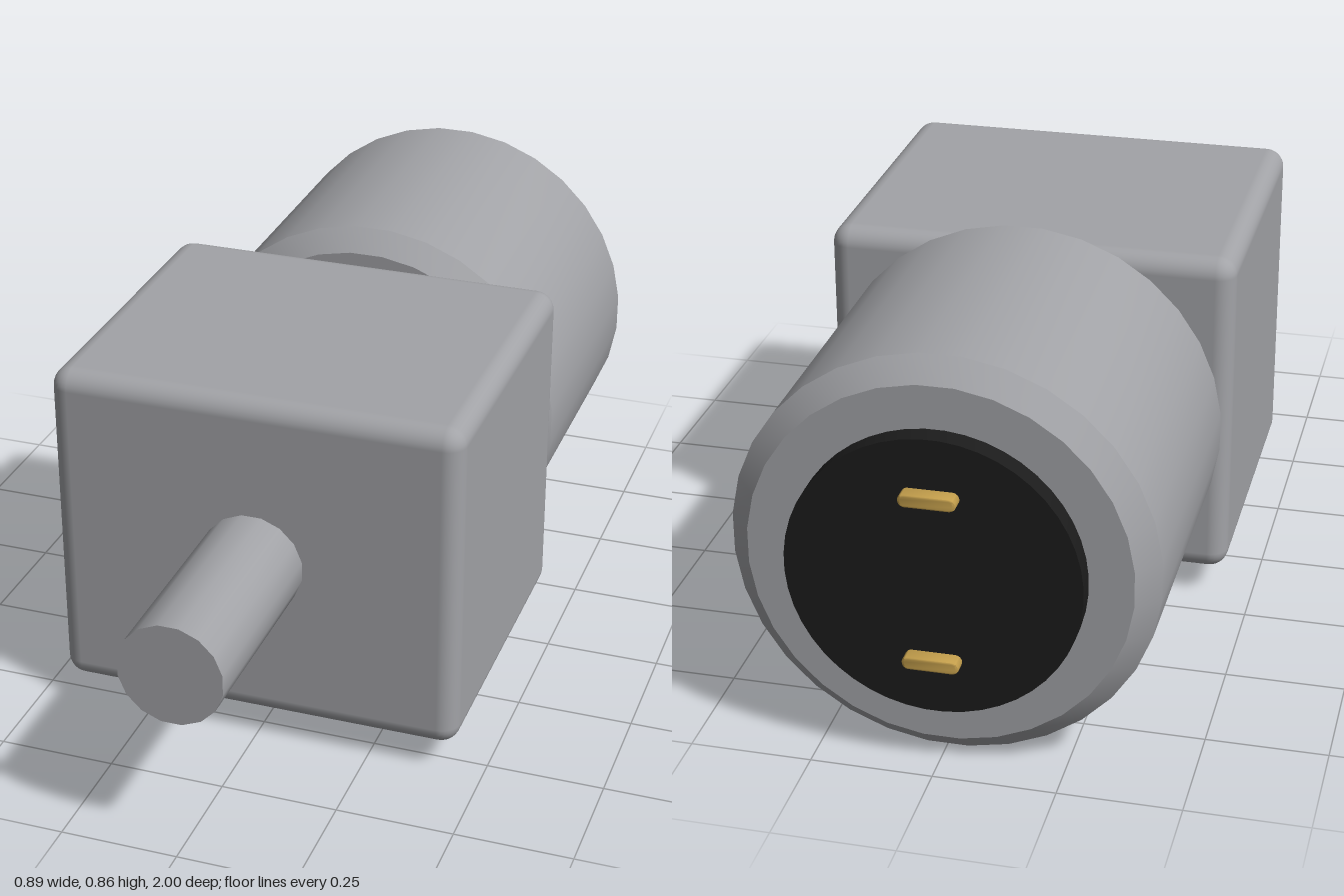
import * as THREE from 'three';
import { toCreasedNormals } from 'three/addons/utils/BufferGeometryUtils.js';
import { RoundedBoxGeometry } from 'three/addons/geometries/RoundedBoxGeometry.js';

const AXIS_Y = 0.4315;

export function createModel() {
  const model = new THREE.Group();
  model.name = 'gearMotor';

  const material = (name, color) => {
    const m = new THREE.MeshStandardMaterial({ color });
    m.name = name;
    return m;
  };
  const steel = material('steelGrey', 0xa2a3a7);
  const black = material('blackPlastic', 0x1c1c1c);
  const brass = material('brass', 0xc49f4c);

  const add = (name, geometry, mat, y = AXIS_Y, z = 0) => {
    const mesh = new THREE.Mesh(geometry, mat);
    mesh.name = name;
    mesh.position.set(0, y, z);
    model.add(mesh);
  };

  // Solid of revolution along z; profile entries are [radius, z], front to back
  const turned = (profile, sides) => {
    const points = profile.map(([r, z]) => new THREE.Vector2(r, -z));
    const geometry = new THREE.LatheGeometry(points, sides, Math.PI / sides);
    geometry.rotateX(-Math.PI / 2);
    return toCreasedNormals(geometry, 0.6);
  };

  // Gearbox with softly rounded edges
  add('gearbox', new RoundedBoxGeometry(0.886, 0.738, 0.74, 4, 0.042), steel, AXIS_Y, 0.185);

  // Output shaft
  add('outputShaft', turned([[0, 1], [0.111, 1], [0.111, 0.5], [0, 0.5]], 16), steel);

  // Motor can, chamfered at both ends
  add('motorCan', turned([
    [0, -0.183], [0.386, -0.183], [0.4315, -0.229],
    [0.4315, -0.88], [0.386, -0.925], [0, -0.925],
  ], 32), steel);

  // Rear insulating cap
  add('rearCap', turned([[0, -0.92], [0.296, -0.92], [0.296, -0.97], [0, -0.97]], 48), black);

  // Two flat terminals with rounded ends
  const r = 0.014, bevel = 0.005, half = 0.057 - r;
  const outline = new THREE.Shape();
  outline.absarc(half, 0, r - bevel, -Math.PI / 2, Math.PI / 2);
  outline.absarc(-half, 0, r - bevel, Math.PI / 2, Math.PI * 1.5);
  const terminal = new THREE.ExtrudeGeometry(outline, {
    depth: 0.03, curveSegments: 8, bevelSize: bevel, bevelThickness: bevel, bevelSegments: 2,
  });
  const terminalGeometry = toCreasedNormals(terminal, 0.8);
  add('upperTerminal', terminalGeometry, brass, AXIS_Y + 0.177, -0.995);
  add('lowerTerminal', terminalGeometry, brass, AXIS_Y - 0.177, -0.995);

  return model;
}
